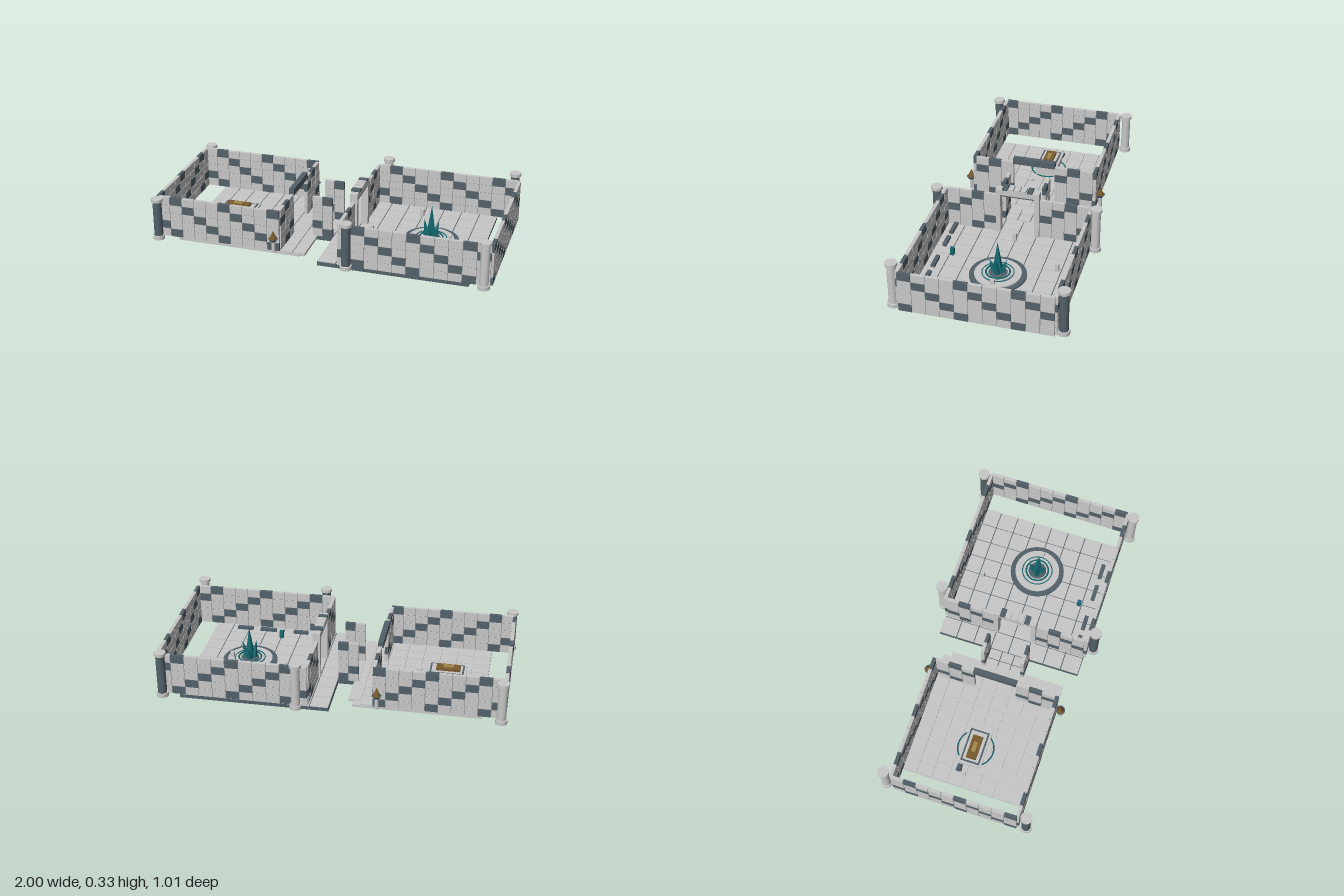
import * as THREE from 'three';

const mat = (name, color, extra = {}) => {
  const m = new THREE.MeshStandardMaterial({ color, ...extra });
  m.name = name;
  return m;
};

export function createModel() {
  const light = mat('pale stone', 0xc8c8c8);
  const dark = mat('slate', 0x536169);
  const grout = mat('grout', 0x85888a);
  const teal = mat('teal crystal', 0x146a72);
  const brown = mat('brown wood', 0x7a5a2c);
  const gold = mat('old gold', 0xa08a4c);

  const model = new THREE.Group();
  model.name = 'twoRoomRuin';
  const group = (name) => {
    const g = new THREE.Group();
    g.name = name;
    model.add(g);
    return g;
  };
  const add = (parent, name, geo, m, x = 0, y = 0, z = 0) => {
    const mesh = new THREE.Mesh(geo, m);
    mesh.name = name;
    mesh.position.set(x, y, z);
    parent.add(mesh);
    return mesh;
  };
  // Box given by its lower and upper limits on each axis
  const box = (parent, name, m, x0, x1, y0, y1, z0, z1) =>
    add(parent, name, new THREE.BoxGeometry(x1 - x0, y1 - y0, z1 - z0), m,
      (x0 + x1) / 2, (y0 + y1) / 2, (z0 + z1) / 2);
  // Upright cylinder or cone frustum
  const drum = (parent, name, m, x, z, y0, y1, r0, r1 = r0, sides = 20) =>
    add(parent, name, new THREE.CylinderGeometry(r1, r0, y1 - y0, sides), m, x, (y0 + y1) / 2, z);
  const ring = (parent, name, m, x, y, z, r, tube) => {
    const t = add(parent, name, new THREE.TorusGeometry(r, tube, 6, 40), m, x, y, z);
    t.rotation.x = Math.PI / 2;
  };

  // Block walls: five courses with slate blocks stepping diagonally
  const BASE = 0.026, ROW = 0.05, GAP = 0.003, THICK = 0.02;
  const stepUp = (i, row) => (i + row) % 4 === 1;
  const wall = (name, alongX, fixed, from, to, count, isDark = stepUp) => {
    const g = group(name);
    const w = (to - from) / count, len = to - from - GAP * 2, mid = (from + to) / 2;
    const size = (l, h, t) => alongX ? new THREE.BoxGeometry(l, h, t) : new THREE.BoxGeometry(t, h, l);
    const put = (n, geo, m, s, y) => add(g, n, geo, m, alongX ? s : fixed, y, alongX ? fixed : s);
    put('wallCore', size(len, ROW * 5 - GAP * 2, THICK - 0.006), grout, mid, BASE + ROW * 2.5);
    const block = size(w - GAP, ROW - GAP, THICK);
    for (let row = 0; row < 5; row++)
      for (let i = 0; i < count; i++)
        put('wallBlock', block, isDark(i, row) ? dark : light, from + w * (i + 0.5), BASE + ROW * (row + 0.5));
  };

  // Paved floors
  const paving = (g, x0, x1, z0, z1, nx, nz, y0, y1) => {
    const w = (x1 - x0) / nx, d = (z1 - z0) / nz;
    const tile = new THREE.BoxGeometry(w - 0.005, y1 - y0, d - 0.005);
    for (let i = 0; i < nx; i++)
      for (let j = 0; j < nz; j++)
        add(g, 'floorTile', tile, light, x0 + w * (i + 0.5), (y0 + y1) / 2, z0 + d * (j + 0.5));
  };
  const smallFloor = group('smallRoomFloor');
  box(smallFloor, 'floorSlab', light, -0.86, -0.125, 0.006, 0.02, -0.37, 0.37);
  box(smallFloor, 'doorStep', light, -0.165, -0.095, 0.009, 0.024, -0.32, 0.365);
  paving(smallFloor, -0.86, -0.165, -0.37, 0.37, 7, 8, 0.02, 0.027);
  const largeFloor = group('largeRoomFloor');
  box(largeFloor, 'floorSlab', dark, 0, 0.865, 0, 0.023, -0.435, 0.43);
  paving(largeFloor, 0, 0.87, -0.44, 0.43, 8, 8, 0.023, 0.028);
  const passageFloor = group('passageFloor');
  box(passageFloor, 'floorSlab', dark, -0.125, 0, 0, 0.023, -0.125, 0.125);
  paving(passageFloor, -0.125, 0, -0.115, 0.115, 2, 3, 0.023, 0.028);

  // Small room, passage and large room walls, mirrored front and back
  for (const s of [1, -1]) {
    const end = s > 0 ? 'front' : 'back';
    const span = (a, b) => s > 0 ? [a, b] : [-b, -a];
    wall(end + 'SmallRoomWall', true, 0.37 * s, -0.98, -0.24, 10);
    wall(end + 'SmallDoorWall', false, -0.246, ...span(0.125, 0.36), 3);
    wall(end + 'PassageWall', true, 0.12 * s, -0.122, 0, 2);
    wall(end + 'LargeRoomWall', true, 0.432 * s, 0.12, 0.985, 11);
    wall(end + 'LargeDoorWall', false, 0.126, ...span(0.13, 0.422), 4);
  }
  wall('smallRoomEndWall', false, -0.98, -0.37, 0.37, 10);
  wall('largeRoomEndWall', false, 0.986, -0.43, 0.43, 11, (i, row) => (10 - i + row) % 4 === 0);

  // Doorways
  const smallDoor = group('smallDoorway');
  box(smallDoor, 'lintel', dark, -0.264, -0.233, 0.265, 0.305, -0.128, 0.128);
  const largeDoor = group('largeDoorway');
  for (const s of [1, -1])
    box(largeDoor, 'doorPost', light, 0.105, 0.148, 0.028, 0.285, s * 0.115 - 0.014, s * 0.115 + 0.014);
  box(largeDoor, 'lintel', light, 0.105, 0.148, 0.285, 0.32, -0.129, 0.129);
  box(largeDoor, 'lintelUnderside', dark, 0.107, 0.146, 0.277, 0.285, -0.1, 0.1);
  for (let i = -2; i <= 2; i++)
    box(largeDoor, 'lintelBlock', Math.abs(i) === 2 ? dark : light,
      0.1, 0.152, 0.32, 0.333, i * 0.037 - 0.015, i * 0.037 + 0.015);

  // Corner columns
  const column = (x, z, shaft, top) => {
    const g = group('cornerColumn');
    drum(g, 'columnBase', light, x, z, 0.026, 0.05, 0.034);
    drum(g, 'columnShaft', shaft, x, z, 0.05, top - 0.018, 0.026);
    drum(g, 'columnCap', light, x, z, top - 0.018, top, 0.034);
  };
  column(-0.966, 0.42, dark, 0.28);
  column(-0.966, -0.42, light, 0.28);
  column(0.18, 0.47, dark, 0.308);
  column(0.18, -0.47, light, 0.308);
  column(0.955, 0.47, light, 0.308);
  column(0.955, -0.47, dark, 0.308);

  // Braziers beside the small room
  for (const z of [0.403, -0.403]) {
    const g = group('brazier');
    drum(g, 'brazierStand', light, -0.268, z, 0.03, 0.105, 0.012, 0.01, 12);
    drum(g, 'brazierBowl', dark, -0.268, z, 0.1, 0.115, 0.018, 0.028, 16);
    drum(g, 'brazierFlame', brown, -0.268, z, 0.115, 0.163, 0.022, 0.001, 8);
  }

  // Altar with a wooden tray
  const altar = group('altar');
  box(altar, 'altarBody', light, -0.725, -0.52, 0.027, 0.078, -0.06, 0.06);
  box(altar, 'altarTop', light, -0.735, -0.51, 0.078, 0.088, -0.07, 0.07);
  box(altar, 'altarInlay', dark, -0.722, -0.523, 0.088, 0.09, -0.057, 0.057);
  box(altar, 'altarPanel', light, -0.712, -0.533, 0.09, 0.092, -0.047, 0.047);
  box(altar, 'tray', brown, -0.7, -0.56, 0.092, 0.106, -0.03, 0.03);
  box(altar, 'trayRelic', gold, -0.66, -0.6, 0.106, 0.114, -0.012, 0.012);
  ring(altar, 'altarRing', teal, -0.615, 0.03, 0, 0.105, 0.004);
  const urn = drum(altar, 'fallenUrn', dark, -0.757, -0.05, 0.027, 0.067, 0.014, 0.018, 12);
  urn.rotation.z = Math.PI / 2;
  drum(altar, 'smallCup', light, -0.777, -0.018, 0.027, 0.045, 0.012, 0.012, 12);
  drum(altar, 'smallDish', light, -0.455, 0.073, 0.027, 0.037, 0.018, 0.018, 16);

  // Round dais with crystals
  const dais = group('crystalDais');
  const cx = 0.557;
  drum(dais, 'daisRim', dark, cx, 0, 0.027, 0.038, 0.162, 0.162, 40);
  drum(dais, 'daisStep', light, cx, 0, 0.038, 0.046, 0.133, 0.133, 40);
  drum(dais, 'daisCentre', light, cx, 0, 0.046, 0.05, 0.08, 0.08, 40);
  ring(dais, 'outerRing', teal, cx, 0.05, 0, 0.09, 0.003);
  ring(dais, 'innerRing', teal, cx, 0.054, 0, 0.067, 0.005);
  drum(dais, 'crystalBed', dark, cx, 0, 0.05, 0.056, 0.054, 0.05, 20);
  const shards = [[0, 0, 0.2, 0.032, 0], [0.022, 0, 0.11, 0.02, 0.2], [0.024, 1.6, 0.085, 0.018, 0.3],
    [0.024, 3, 0.12, 0.02, 0.15], [0.024, 4.6, 0.09, 0.018, 0.3]];
  for (const [r, a, h, w, tilt] of shards) {
    const geo = new THREE.ConeGeometry(w, h, 5).toNonIndexed().translate(0, h / 2, 0);
    geo.computeVertexNormals();
    const c = add(dais, 'crystalShard', geo, teal, cx + r * Math.cos(a), 0.052, r * Math.sin(a));
    c.rotation.set(Math.sin(a) * tilt, 0, -Math.cos(a) * tilt);
  }

  // Small posts and low benches in the large room
  const fittings = group('largeRoomFittings');
  for (const [x, z, m] of [[0.432, -0.308, light], [0.2, 0, light], [0.665, 0, light], [0.432, 0.305, teal]])
    box(fittings, 'smallPost', m, x - 0.011, x + 0.011, 0.028, 0.075, z - 0.011, z + 0.011);
  for (const [a, b] of [[0.13, 0.24], [0.28, 0.37], [0.48, 0.58], [0.63, 0.725]])
    box(fittings, 'lowBench', dark, a, b, 0.028, 0.045, 0.363, 0.386);

  return model;
}
